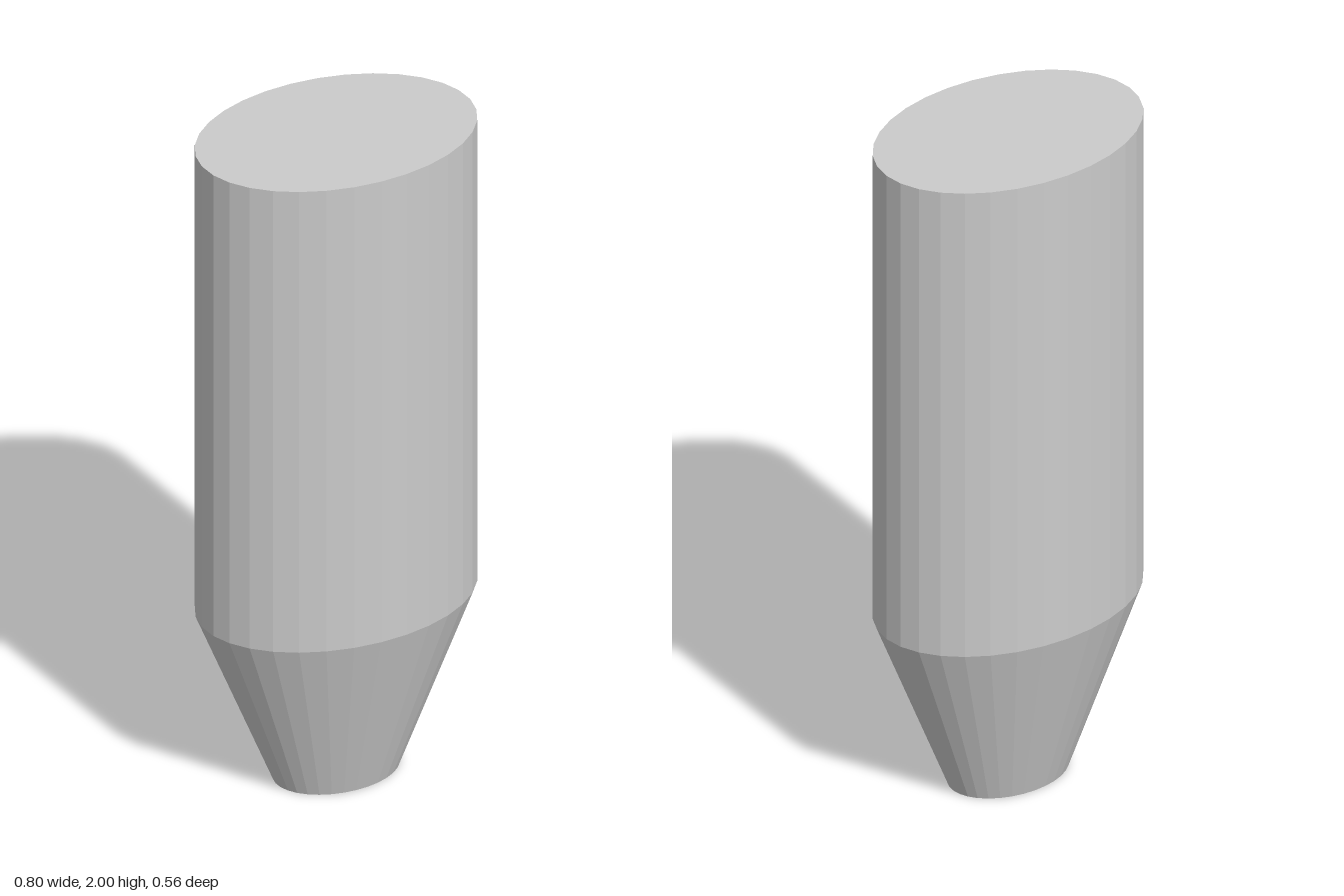
import * as THREE from 'three';

const SIDES = 32;
const DEPTH_RATIO = 0.7; // depth of the oval section relative to its width

export function createModel() {
  const group = new THREE.Group();
  const material = new THREE.MeshStandardMaterial({ color: 0xcccccc, flatShading: true });

  const add = (name, geometry, y) => {
    const mesh = new THREE.Mesh(geometry.scale(1, 1, DEPTH_RATIO), material);
    mesh.name = name;
    mesh.position.y = y;
    group.add(mesh);
  };

  // Oval wall between two heights, open at both ends
  const wall = (name, bottomRadius, topRadius, y0, y1) =>
    add(name, new THREE.CylinderGeometry(topRadius, bottomRadius, y1 - y0, SIDES, 1, true), (y0 + y1) / 2);

  // Flat oval end, facing up or down
  const cap = (name, radius, y, up) =>
    add(name, new THREE.CircleGeometry(radius, SIDES).rotateX(up ? -Math.PI / 2 : Math.PI / 2), y);

  wall('taperedTip', 0.18, 0.4, 0, 0.55);
  wall('body', 0.4, 0.4, 0.55, 2);
  cap('tipEnd', 0.18, 0, false);
  cap('topEnd', 0.4, 2, true);

  return group;
}
